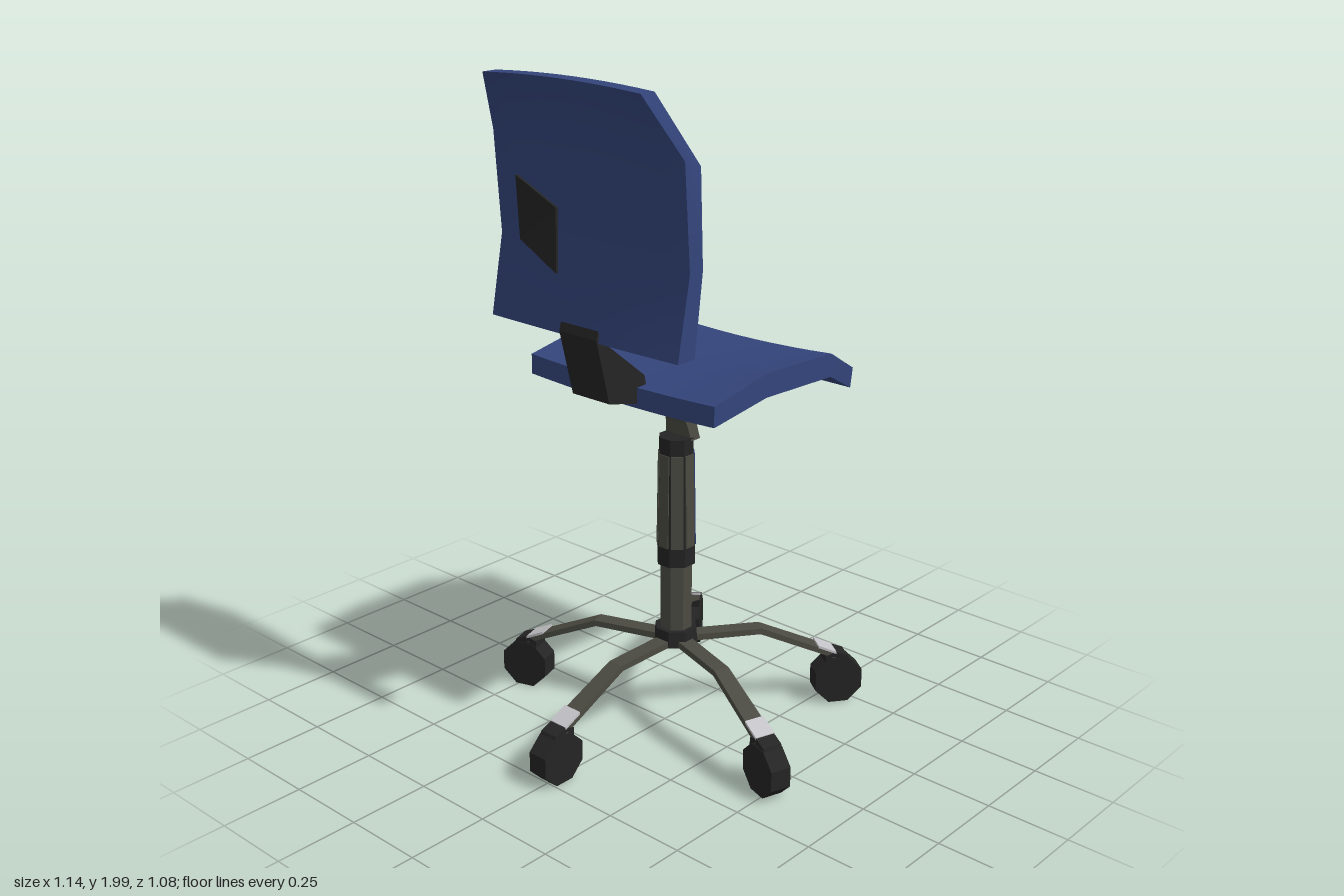
import * as THREE from 'three';

const mat = (name, color) => {
  const m = new THREE.MeshStandardMaterial({ color });
  m.name = name;
  return m;
};

export function createModel() {
  const blue = mat('blue fabric', 0x33447a);
  const black = mat('black plastic', 0x242424);
  const olive = mat('dark grey metal', 0x4a4a42);
  const silver = mat('light grey metal', 0xc4c4c8);
  const chair = new THREE.Group();
  chair.name = 'swivelChair';
  const AXIS_Z = -0.05; // column axis

  const add = (parent, name, geo, material) => {
    const mesh = new THREE.Mesh(geo, material);
    mesh.name = name;
    parent.add(mesh);
    return mesh;
  };

  const flat = (geo) => {
    const g = geo.toNonIndexed();
    g.computeVertexNormals();
    return g;
  };

  // Side profile of [z, y] points, extruded across x; halfWidth may depend on y
  const profile = (points, halfWidth) => {
    const shape = new THREE.Shape(points.map(([z, y]) => new THREE.Vector2(z, y)));
    const geo = new THREE.ExtrudeGeometry(shape, { depth: 2, bevelEnabled: false });
    geo.rotateY(-Math.PI / 2).translate(1, 0, 0);
    const p = geo.attributes.position;
    for (let i = 0; i < p.count; i++) p.setX(i, p.getX(i) * halfWidth(p.getY(i)));
    geo.computeVertexNormals();
    return geo;
  };

  // Curved cushion: each row is [half width, edge A, middle A, edge B, middle B], points as [y, z]
  const cushion = (rows) => {
    const N = 10;
    const grid = (edge, mid) => rows.map((row) => Array.from({ length: N + 1 }, (_, j) => {
      const u = (j / N) * 2 - 1;
      const [y, z] = [0, 1].map((k) => row[mid][k] + (row[edge][k] - row[mid][k]) * u * u);
      return [row[0] * u, y, z];
    }));
    const A = grid(1, 2), B = grid(3, 4), R = rows.length;
    const pos = [], idx = [];
    const sheet = (g, flip) => {
      const base = pos.length / 3, cols = g[0].length;
      g.flat().forEach((p) => pos.push(...p));
      for (let i = 0; i < g.length - 1; i++) for (let j = 0; j < cols - 1; j++) {
        const a = base + i * cols + j, b = a + 1, c = b + cols, d = a + cols;
        if (flip) idx.push(a, c, b, a, d, c);
        else idx.push(a, b, c, a, c, d);
      }
    };
    sheet(A, false);
    sheet(B, true);
    // Rim strips keep their own vertices so the edge stays sharp
    sheet([B[0], A[0]], false);
    sheet([B[R - 1], A[R - 1]], true);
    sheet([B.map((r) => r[N]), A.map((r) => r[N])], false);
    sheet([B.map((r) => r[0]), A.map((r) => r[0])], true);
    const geo = new THREE.BufferGeometry();
    geo.setAttribute('position', new THREE.Float32BufferAttribute(pos, 3));
    geo.setIndex(idx);
    geo.computeVertexNormals();
    return geo;
  };

  // Seat, rear edge to drooping front edge
  add(chair, 'seat', cushion([
    [0.35, [1.15, 0.19], [1.14, 0.19], [1.09, 0.19], [1.08, 0.19]],
    [0.35, [1.19, -0.03], [1.15, -0.03], [1.12, -0.03], [1.08, -0.03]],
    [0.35, [1.18, -0.32], [1.165, -0.32], [1.11, -0.32], [1.095, -0.32]],
    [0.29, [1.08, -0.51], [1.08, -0.51], [1.02, -0.5], [1.02, -0.5]],
  ]), blue);

  // Backrest, bottom to top
  add(chair, 'backrest', cushion([
    [0.35, [1.3, 0.335], [1.3, 0.34], [1.3, 0.27], [1.3, 0.285]],
    [0.35, [1.53, 0.29], [1.53, 0.305], [1.53, 0.24], [1.53, 0.27]],
    [0.35, [1.82, 0.31], [1.83, 0.325], [1.8, 0.25], [1.8, 0.275]],
    [0.285, [1.99, 0.4], [2, 0.4], [1.99, 0.35], [2, 0.35]],
  ]), blue);

  // Slanted label plate on the back
  const plate = new THREE.Shape([[-0.25, 1.53], [-0.1, 1.46], [-0.1, 1.64], [-0.25, 1.71]]
    .map(([x, y]) => new THREE.Vector2(x, y)));
  const plateGeo = new THREE.ExtrudeGeometry(plate, { depth: 0.008, bevelEnabled: false });
  // Follows the bend of the backrest
  const pp = plateGeo.attributes.position;
  for (let i = 0; i < pp.count; i++) {
    pp.setZ(i, pp.getZ(i) + 0.307 + Math.max(0, 1.53 - pp.getY(i)) * 0.16 + Math.max(0, pp.getY(i) - 1.53) * 0.06);
  }
  plateGeo.computeVertexNormals();
  add(chair, 'backPlate', plateGeo, black);

  // Bracket joining backrest and seat
  add(chair, 'backBracket', profile([
    [0.34, 1.335], [0.347, 1.31], [0.3, 1.12], [0.05, 1.06], [-0.02, 1.09],
    [0.15, 1.12], [0.16, 1.17], [0.32, 1.3],
  ], () => 0.07), black);

  // Hooked neck: wide below the seat, pinched, then wider at the column
  const neckWidth = (y) => (y > 1
    ? THREE.MathUtils.mapLinear(Math.min(y, 1.07), 1, 1.07, 0.035, 0.07)
    : THREE.MathUtils.mapLinear(y, 0.91, 1, 0.05, 0.035));
  add(chair, 'seatMount', profile([
    [0.06, 1.06], [-0.02, 1.02], [-0.035, 1], [-0.07, 1], [-0.08, 1.09], [0.06, 1.09],
  ], neckWidth), black);
  add(chair, 'neck', profile([
    [-0.035, 1], [-0.05, 0.96], [-0.06, 0.91], [-0.098, 0.91], [-0.09, 0.96], [-0.07, 1],
  ], neckWidth), olive);

  // Column
  const tube = (name, rTop, rBottom, y0, y1, material) => {
    const geo = new THREE.CylinderGeometry(rTop, rBottom, y1 - y0, 8).rotateY(Math.PI / 8);
    add(chair, name, flat(geo.translate(0, (y0 + y1) / 2, AXIS_Z)), material);
  };
  tube('hub', 0.065, 0.07, 0.26, 0.31, black);
  tube('lowerColumn', 0.05, 0.05, 0.3, 0.53, olive);
  tube('columnSleeve', 0.053, 0.06, 0.52, 0.92, black);

  // Inset panels around the sleeve, one per facet
  for (let k = 0; k < 8; k++) {
    const isBlue = k === 3 || k === 4;
    const panel = add(chair, 'sleevePanel', new THREE.BoxGeometry(0.036, 0.29, 0.006), isBlue ? blue : olive);
    const a = (k * Math.PI) / 4;
    panel.position.set(Math.sin(a) * 0.0525, 0.725, AXIS_Z + Math.cos(a) * 0.0525);
    panel.rotation.set(-0.016, a, 0, 'YXZ');
  }

  // Five legs with casters
  for (let k = 0; k < 5; k++) {
    const leg = new THREE.Group();
    leg.name = 'legAssembly';
    leg.position.z = AXIS_Z;
    leg.rotation.y = (k * Math.PI * 2) / 5;
    chair.add(leg);
    add(leg, 'leg', profile([
      [0.03, 0.28], [0.03, 0.26], [0.26, 0.26], [0.5, 0.155], [0.5, 0.172], [0.265, 0.278],
    ], (y) => THREE.MathUtils.mapLinear(y, 0.28, 0.16, 0.024, 0.03)), olive);
    add(leg, 'legTrim', profile([
      [0.445, 0.204], [0.445, 0.196], [0.503, 0.17], [0.503, 0.178],
    ], () => 0.031), silver);
    add(leg, 'casterMount', profile([
      [0.47, 0.165], [0.47, 0.14], [0.55, 0.14], [0.54, 0.162], [0.503, 0.176],
    ], () => 0.03), black);
    const wheel = new THREE.CylinderGeometry(0.08, 0.08, 0.064, 8).rotateY(Math.PI / 8);
    add(leg, 'caster', flat(wheel.rotateZ(Math.PI / 2).translate(0, 0.079, 0.513)), black);
  }

  return chair;
}
